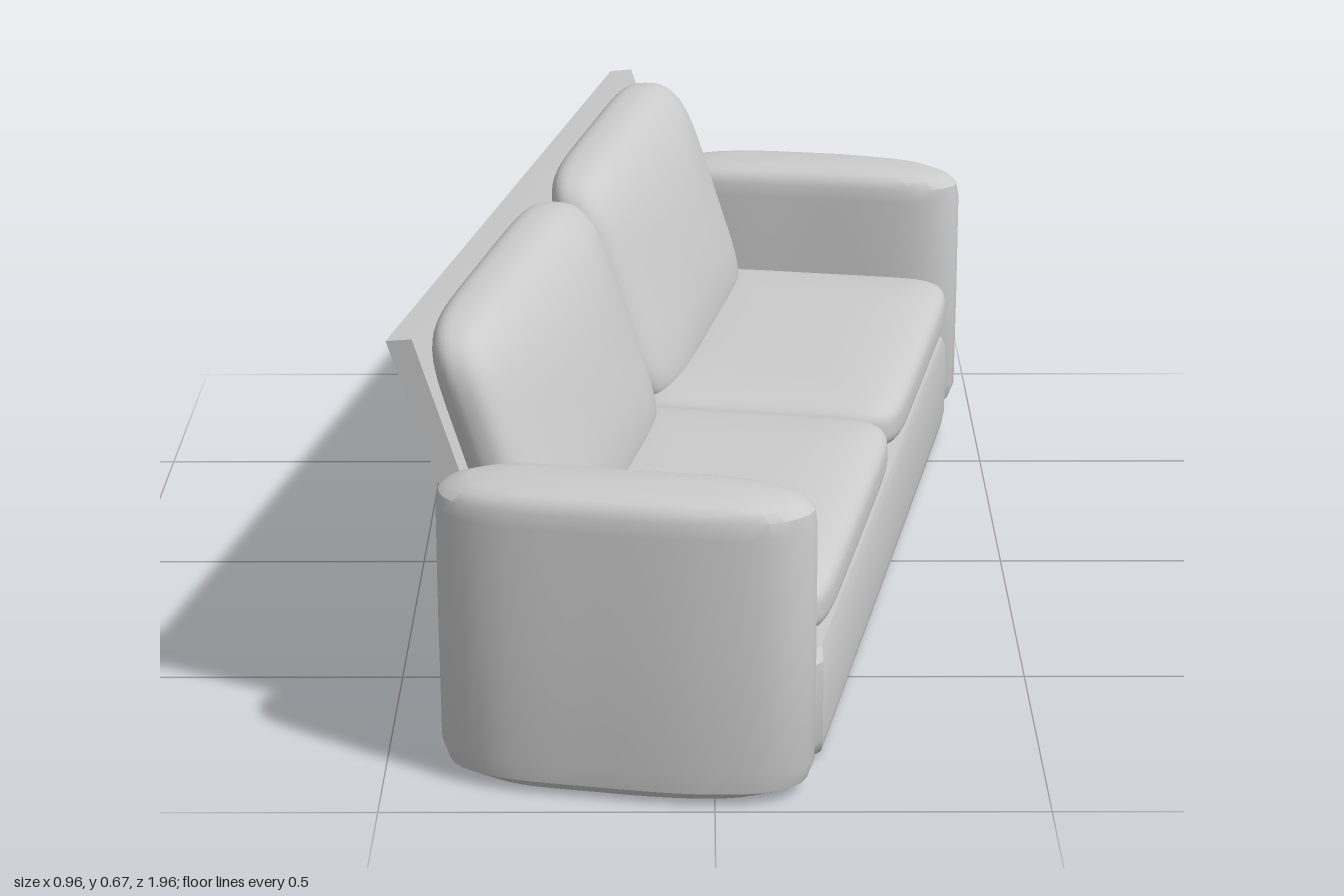
import * as THREE from 'three';
import { mergeVertices, toCreasedNormals } from 'three/addons/utils/BufferGeometryUtils.js';

const material = new THREE.MeshStandardMaterial({ color: 0xcccccc });

function addPart(group, name, geometry) {
  const mesh = new THREE.Mesh(geometry, material);
  mesh.name = name;
  group.add(mesh);
  return mesh;
}

// Cushion: a box swollen into a superellipsoid.
// 'axis' is the direction with its own exponent b; the other two share exponent a.
function softBlock(hx, hy, hz, axis, a, b, n = 20) {
  let g = new THREE.BoxGeometry(2, 2, 2, n, n, n);
  g.deleteAttribute('uv');
  g.deleteAttribute('normal');
  g = mergeVertices(g);
  const p = g.attributes.position;
  const v = new THREE.Vector3();
  const others = ['x', 'y', 'z'].filter((k) => k !== axis);
  for (let i = 0; i < p.count; i++) {
    v.fromBufferAttribute(p, i);
    const face = others.reduce((s, k) => s + Math.abs(v[k]) ** a, 0);
    const r = (face ** (b / a) + Math.abs(v[axis]) ** b) ** (-1 / b);
    v.multiplyScalar(r);
    p.setXYZ(i, v.x * hx, v.y * hy, v.z * hz);
  }
  g.computeVertexNormals();
  return g;
}

// Stack copies of a plan outline [x, z], scaled about its origin: layers are [y, scale]
function loft(plan, layers) {
  const n = plan.length;
  const pos = layers.flatMap(([y, s]) => plan.flatMap(([x, z]) => [x * s, y, z * s]));
  const index = [];
  for (let j = 0; j < layers.length - 1; j++) {
    for (let i = 0; i < n; i++) {
      const a = j * n + i;
      const b = j * n + ((i + 1) % n);
      index.push(a, b, b + n, a, b + n, a + n);
    }
  }
  const g = new THREE.BufferGeometry();
  g.setAttribute('position', new THREE.Float32BufferAttribute(pos, 3));
  g.setIndex(index);
  return toCreasedNormals(g, 0.55);
}

// Arm plan with a bowed outer side (+z) and tapered ends
const armPoints = [
  [-0.286, -0.03], [-0.268, 0.035], [-0.2, 0.072], [-0.03, 0.084], [0.14, 0.08],
  [0.245, 0.052], [0.287, 0.005], [0.282, -0.04], [0.23, -0.073], [0, -0.084],
  [-0.24, -0.074],
];
const armCurve = new THREE.CatmullRomCurve3(
  armPoints.map(([x, z]) => new THREE.Vector3(x, 0, z)), true);
const armPlan = armCurve.getSpacedPoints(56).slice(0, -1).map((p) => [p.x, p.z]);
const armLayers = [
  [0.006, 0], [0.006, 0.8], [0.02, 0.955], [0.05, 0.995], [0.24, 1], [0.425, 1],
  [0.45, 0.985], [0.463, 0.93], [0.472, 0.82], [0.478, 0.62], [0.48, 0],
];

// Base plan with chamfered front corners
const basePlan = [
  [-0.27, -0.812], [-0.27, 0.812], [0.235, 0.812], [0.265, 0.765],
  [0.265, -0.765], [0.235, -0.812],
];
const baseLayers = [
  [0, 0], [0, 0.96], [0.012, 0.985], [0.035, 1], [0.165, 1], [0.185, 0.98], [0.185, 0],
];

export function createModel() {
  const model = new THREE.Group();
  model.name = 'sofa';

  // The sofa is built facing +x, with its length along z, then turned
  const sofa = new THREE.Group();
  sofa.name = 'sofaBody';
  sofa.rotation.y = -THREE.MathUtils.degToRad(10.5);
  model.add(sofa);

  addPart(sofa, 'base', loft(basePlan, baseLayers)).position.set(0.047, 0, 0.012);

  // Back panel: upright at the bottom, leaning back at the top
  const profile = new THREE.Shape([
    [-0.232, 0.005], [-0.19, 0.005], [-0.19, 0.25], [-0.225, 0.42], [-0.305, 0.658],
    [-0.345, 0.653], [-0.265, 0.42], [-0.236, 0.25],
  ].map(([x, y]) => new THREE.Vector2(x, y)));
  const panel = new THREE.ExtrudeGeometry(profile, { depth: 1.646, bevelEnabled: false });
  panel.translate(0, 0, -0.82);
  addPart(sofa, 'backPanel', toCreasedNormals(panel, 0.5));

  // The two halves, each with the place where its cushions end
  for (const [side, s, end] of [['left', 1, 0.83], ['right', -1, 0.802]]) {
    const plan = s > 0 ? armPlan : armPlan.map(([x, z]) => [x, -z]).reverse();
    addPart(sofa, side + 'Arm', loft(plan, armLayers))
      .position.set(0.027, 0, s * (s > 0 ? 0.892 : 0.888));

    const half = end / 2 - 0.002;
    addPart(sofa, side + 'SeatCushion', softBlock(0.247, 0.059, half, 'y', 9, 3.6))
      .position.set(0.071, 0.25, s * end / 2);

    // Back cushion, leaning with the panel
    const cushion = softBlock(0.083, 0.212, half - 0.003, 'x', 6, 2.8);
    cushion.applyMatrix4(new THREE.Matrix4().makeShear(0, 0, -0.33, 0, 0, 0));
    cushion.computeVertexNormals();
    addPart(sofa, side + 'BackCushion', cushion).position.set(-0.188, 0.459, s * end / 2);
  }
  return model;
}
